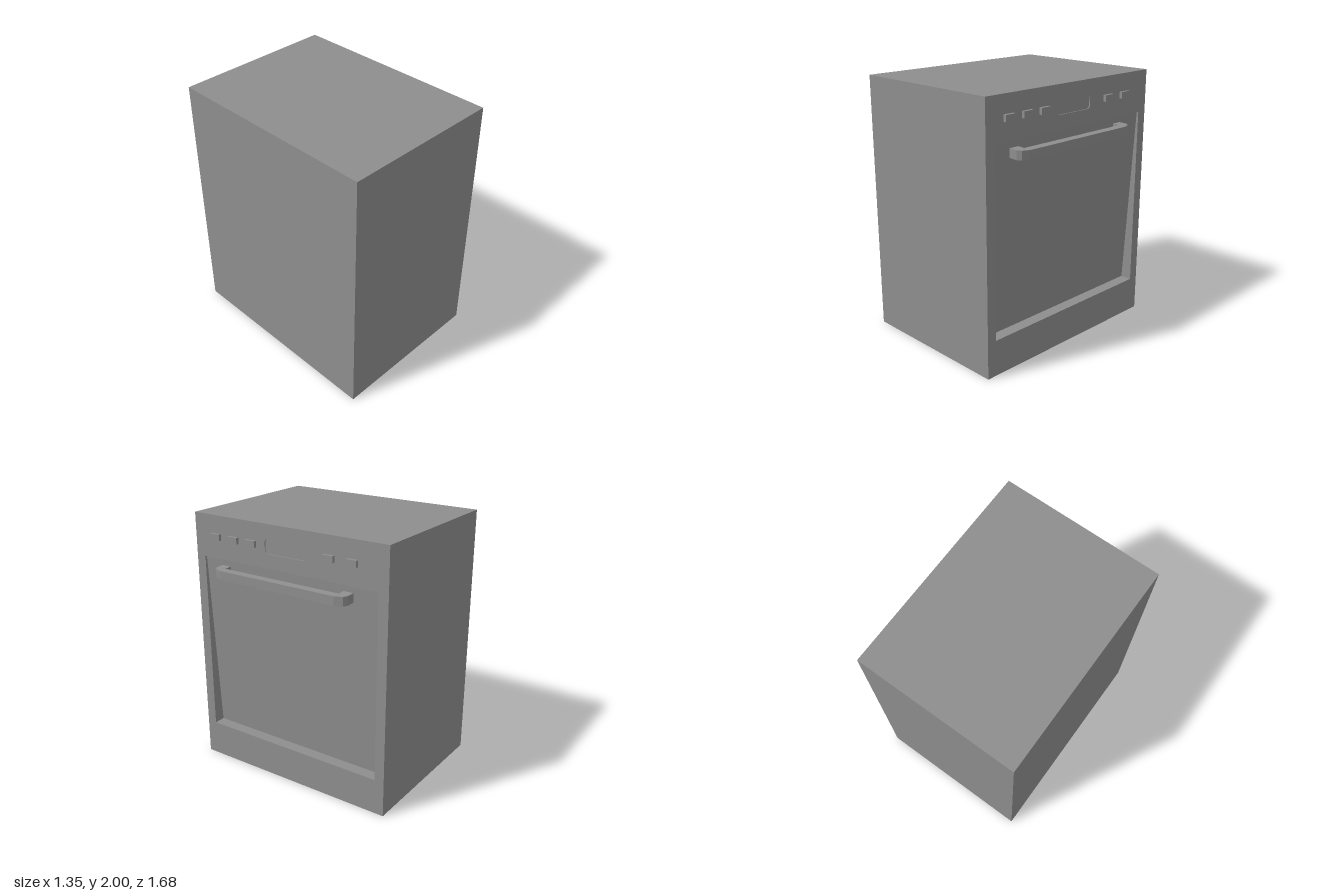
import * as THREE from 'three';

const FRONT = 0.577, BACK = -0.677, HALF_W = 0.838, HEIGHT = 2;
const DOOR = { u0: -0.76, u1: 0.76, v0: 0.275, v1: 1.677, deep: 0.09, shallow: 0.015 };
const material = new THREE.MeshStandardMaterial({ color: 0x8e8e8e, side: THREE.DoubleSide });

function part(name, geometry, parent) {
  const mesh = new THREE.Mesh(geometry, material);
  mesh.name = name;
  parent.add(mesh);
  return mesh;
}

// Counter-clockwise rectangle outline, with optional rounded corners
function rectPoints(u0, u1, v0, v1, r = 0, steps = 5) {
  const corners = [[u1 - r, v0 + r, -1], [u1 - r, v1 - r, 0], [u0 + r, v1 - r, 1], [u0 + r, v0 + r, 2]];
  const points = [];
  for (const [u, v, quarter] of corners) {
    for (let i = 0; i <= (r ? steps : 0); i++) {
      const a = (quarter + i / steps) * Math.PI / 2;
      points.push(new THREE.Vector2(u + r * Math.cos(a), v + r * Math.sin(a)));
    }
  }
  return points;
}

// Inward-facing walls and floor of a pocket; depthAt(v) gives its depth by height
function addPocket(name, points, depthAt, parent) {
  const pocket = new THREE.Group();
  pocket.name = name;
  parent.add(pocket);

  const walls = [];
  points.forEach((a, i) => {
    const b = points[(i + 1) % points.length];
    const af = [a.x, a.y, FRONT], bf = [b.x, b.y, FRONT];
    const ab = [a.x, a.y, FRONT - depthAt(a.y)], bb = [b.x, b.y, FRONT - depthAt(b.y)];
    walls.push(...af, ...bf, ...ab, ...bf, ...bb, ...ab);
  });
  const wallGeometry = new THREE.BufferGeometry();
  wallGeometry.setAttribute('position', new THREE.Float32BufferAttribute(walls, 3));
  wallGeometry.computeVertexNormals();
  part(name + 'Walls', wallGeometry, pocket);

  const floor = new THREE.ShapeGeometry(new THREE.Shape(points));
  const pos = floor.attributes.position;
  for (let i = 0; i < pos.count; i++) pos.setZ(i, FRONT - depthAt(pos.getY(i)));
  floor.computeVertexNormals();
  part(name + 'Panel', floor, pocket);
}

export function createModel() {
  const model = new THREE.Group();
  model.name = 'oven';

  // Built facing +z, then turned so the door faces +x
  const oven = new THREE.Group();
  oven.name = 'ovenAssembly';
  oven.rotation.y = Math.PI / 2;
  model.add(oven);

  // Cabinet: a thin-walled box, open underneath and at the front (fourth and fifth faces)
  const cabinet = new THREE.BoxGeometry(HALF_W * 2, HEIGHT, FRONT - BACK);
  const index = Array.from(cabinet.index.array);
  index.splice(18, 12);
  cabinet.setIndex(index);
  cabinet.clearGroups();
  cabinet.translate(0, HEIGHT / 2, (FRONT + BACK) / 2);
  part('cabinet', cabinet, oven);

  // Front face with openings for the door and the display
  const doorOutline = rectPoints(DOOR.u0, DOOR.u1, DOOR.v0, DOOR.v1);
  const displayOutline = rectPoints(-0.18, 0.178, 1.785, 1.895, 0.03);
  const face = new THREE.Shape(rectPoints(-HALF_W, HALF_W, 0, HEIGHT));
  face.holes.push(new THREE.Path(doorOutline), new THREE.Path(displayOutline));
  part('frontFrame', new THREE.ShapeGeometry(face).translate(0, 0, FRONT), oven);

  // The door leans back toward the bottom
  const slope = (DOOR.deep - DOOR.shallow) / (DOOR.v1 - DOOR.v0);
  const doorDepth = v => DOOR.shallow + (DOOR.v1 - v) * slope;
  addPocket('door', doorOutline, doorDepth, oven);
  addPocket('display', displayOutline, () => 0.008, oven);

  // Handle: bracket outline seen from above, dropping slightly away from the door
  const u0 = -0.607, u1 = 0.555, out = 0.116, bar = 0.057, leg = 0.079;
  const bracket = new THREE.Shape([
    [u0, -0.005], [u0 + leg, -0.005], [u0 + leg, bar], [u1 - leg, bar], [u1 - leg, -0.005], [u1, -0.005],
    [u1, 0.065], [u1 - 0.02, 0.096], [u1 - leg, out],
    [u0 + leg, out], [u0 + 0.02, 0.096], [u0, 0.065],
  ].map(([u, w]) => new THREE.Vector2(u, w)));
  const handleGeometry = new THREE.ExtrudeGeometry(bracket, { depth: 0.067, bevelEnabled: false });
  handleGeometry.translate(0, 0, -0.0335).rotateX(Math.PI / 2);
  const pos = handleGeometry.attributes.position;
  for (let i = 0; i < pos.count; i++) pos.setY(i, pos.getY(i) - slope * pos.getZ(i));
  handleGeometry.computeVertexNormals();
  const handle = part('handle', handleGeometry, oven);
  handle.position.set(0, 1.594, FRONT - doorDepth(1.594));

  // Control buttons either side of the display
  [-0.635, -0.467, -0.303, 0.371, 0.558].forEach((u, i) => {
    const button = part('button' + (i + 1), new THREE.BoxGeometry(0.086, 0.048, 0.03), oven);
    button.position.set(u, 1.841, FRONT + 0.008);
  });

  return model;
}
